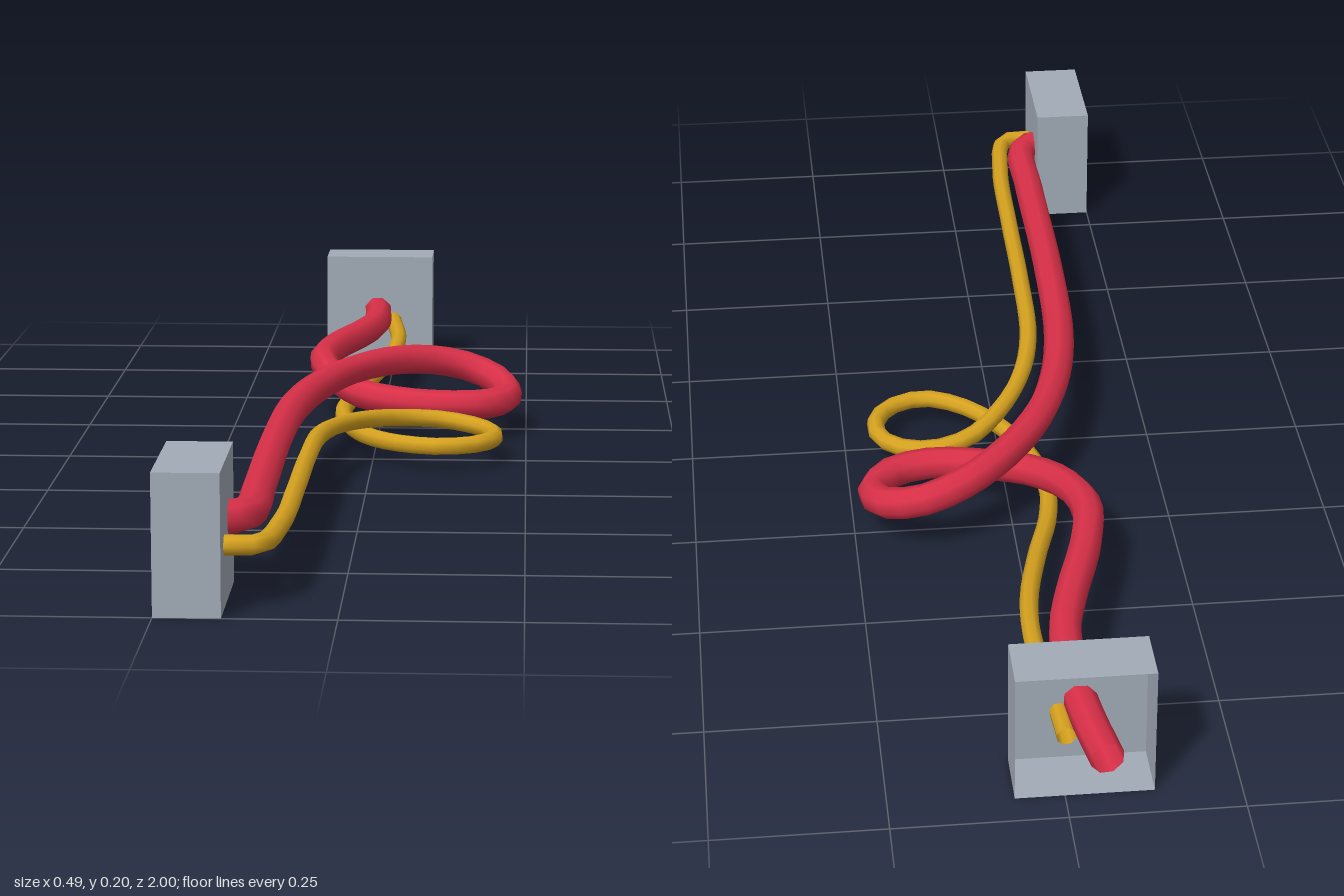
import * as THREE from 'three';

const mat = (name, color) => new THREE.MeshStandardMaterial({ name, color, side: THREE.DoubleSide });

// Box shell with one face left out (0:+x 1:-x 2:+y 3:-y 4:+z 5:-z)
function openBox(name, size, pos, openFace, material) {
  const geo = new THREE.BoxGeometry(...size);
  const index = Array.from(geo.index.array);
  index.splice(openFace * 6, 6);
  geo.setIndex(index);
  geo.clearGroups();
  const mesh = new THREE.Mesh(geo, material);
  mesh.name = name;
  mesh.position.set(...pos);
  return mesh;
}

// Open-ended cable swept along a smooth path
function cable(name, points, radius, segments, material) {
  const path = new THREE.CatmullRomCurve3(points.map(p => new THREE.Vector3(...p)), false, 'centripetal');
  const mesh = new THREE.Mesh(new THREE.TubeGeometry(path, segments, radius, 8), material);
  mesh.name = name;
  return mesh;
}

export function createModel() {
  const model = new THREE.Group();
  model.name = 'loopedCables';
  const grey = mat('socketGrey', 0xa2abb7);
  const red = mat('cableRed', 0xd93048);
  const yellow = mat('cableYellow', 0xd6a21f);

  // Wall sockets at both ends
  model.add(openBox('frontSocket', [0.093, 0.2, 0.2], [-0.2035, 0.1, 0.9], 1, grey));
  model.add(openBox('backSocket', [0.198, 0.2, 0.09], [-0.028, 0.1, -0.905], 5, grey));

  // Thick cable with a sloping loop
  model.add(cable('thickCable', [
    [-0.25, 0.11, 0.875], [-0.155, 0.11, 0.872], [-0.133, 0.11, 0.845], [-0.13, 0.11, 0.7],
    [-0.13, 0.111, 0.4], [-0.12, 0.114, 0.15], [-0.095, 0.117, 0], [-0.05, 0.12, -0.13],
    [0.02, 0.119, -0.24], [0.09, 0.11, -0.3], [0.15, 0.096, -0.315], [0.203, 0.077, -0.285],
    [0.218, 0.062, -0.225], [0.185, 0.06, -0.17], [0.12, 0.061, -0.15], [0.04, 0.063, -0.165],
    [-0.03, 0.07, -0.2], [-0.08, 0.085, -0.27], [-0.103, 0.097, -0.36], [-0.09, 0.1, -0.46],
    [-0.05, 0.1, -0.6], [-0.03, 0.1, -0.69], [-0.027, 0.099, -0.8], [-0.036, 0.098, -0.9],
    [-0.052, 0.098, -1],
  ], 0.025, 80, red));

  // Thin cable with a flat round loop
  model.add(cable('thinCable', [
    [-0.25, 0.088, 0.945], [-0.16, 0.088, 0.945], [-0.112, 0.088, 0.938], [-0.09, 0.088, 0.82],
    [-0.084, 0.088, 0.6], [-0.082, 0.087, 0.4], [-0.074, 0.083, 0.2], [-0.05, 0.076, 0.09],
    [-0.008, 0.067, 0], [0.05, 0.056, -0.068], [0.115, 0.049, -0.088], [0.175, 0.043, -0.06],
    [0.2, 0.041, 0], [0.175, 0.041, 0.06], [0.115, 0.041, 0.085], [0.055, 0.039, 0.06],
    [0, 0.036, 0], [-0.04, 0.035, -0.09], [-0.06, 0.036, -0.2], [-0.05, 0.042, -0.3],
    [-0.02, 0.055, -0.42], [0.008, 0.068, -0.56], [0.015, 0.076, -0.68], [0, 0.08, -0.84],
    [-0.005, 0.08, -0.92],
  ], 0.0145, 80, yellow));

  return model;
}
